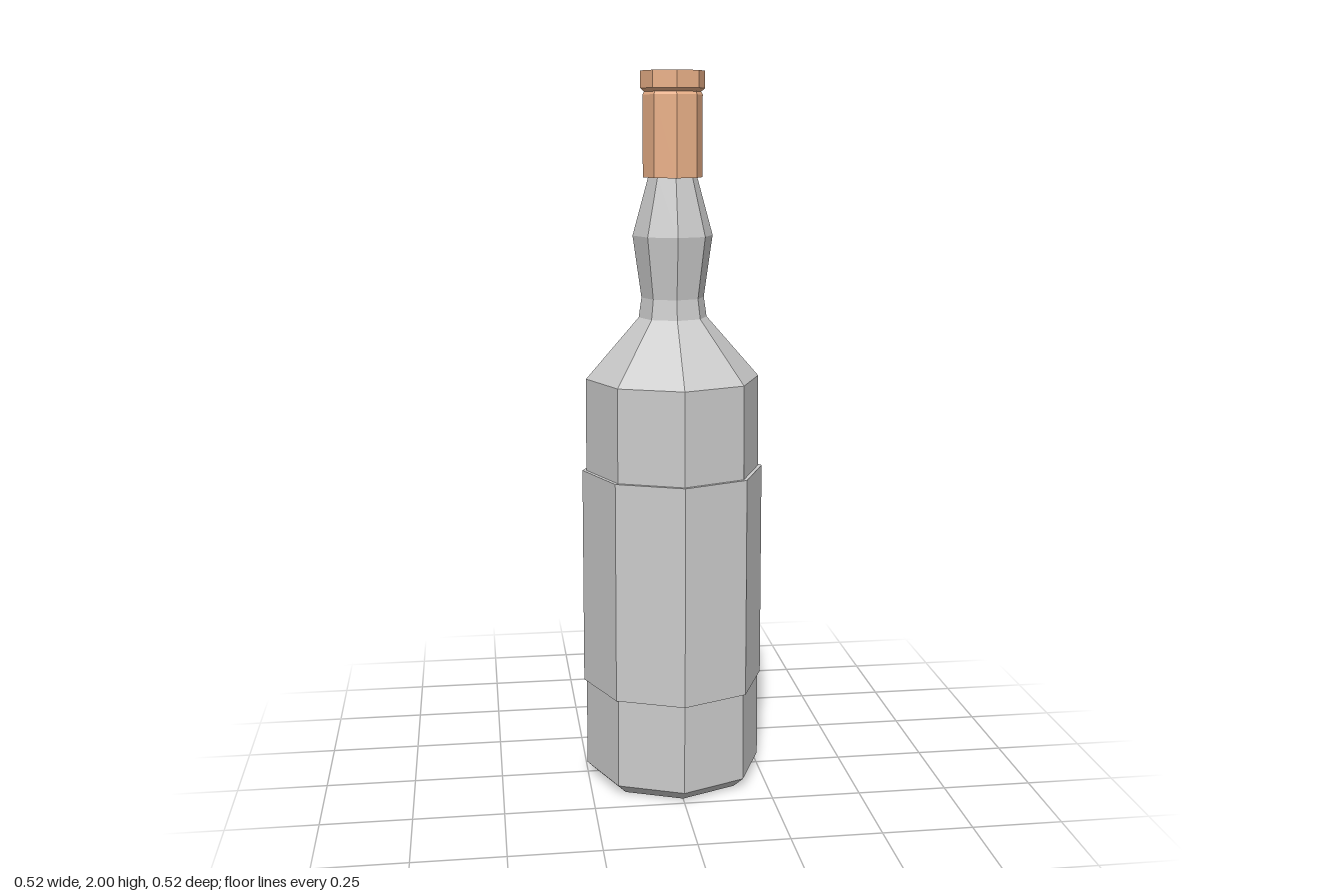
import * as THREE from 'three';

const SIDES = 8;

// Turns a [radius, height] profile, listed bottom to top, into a faceted part
function turned(name, profile, material) {
  const points = profile.map(([r, y]) => new THREE.Vector2(r, y));
  const mesh = new THREE.Mesh(new THREE.LatheGeometry(points, SIDES), material);
  mesh.name = name;
  return mesh;
}

export function createModel() {
  const glass = new THREE.MeshStandardMaterial({ color: 0xcccccc, flatShading: true });
  const cork = new THREE.MeshStandardMaterial({ color: 0xebb189, flatShading: true });

  const bottle = new THREE.Group();
  bottle.name = 'bottle';

  // Body with a recessed base, sloping shoulder and bulged neck
  bottle.add(turned('body', [
    [0, 0.045], [0.15, 0.045], [0.22, 0], [0.252, 0.03],
    [0.243, 1.165], [0.095, 1.335], [0.087, 1.39],
    [0.111, 1.56], [0.067, 1.72], [0, 1.72],
  ], glass));

  // Raised label band wrapped around the body
  bottle.add(turned('label', [
    [0.245, 0.285], [0.258, 0.285], [0.256, 0.905], [0.24, 0.905],
  ], glass));

  // Stopper: sleeve over the neck, then a slightly wider cap
  bottle.add(turned('stopperSleeve', [
    [0, 1.717], [0.082, 1.717], [0.082, 1.937], [0.077, 1.946], [0, 1.946],
  ], cork));
  bottle.add(turned('stopperCap', [
    [0, 1.944], [0.077, 1.944], [0.088, 1.954], [0.088, 2], [0, 2],
  ], cork));

  return bottle;
}
